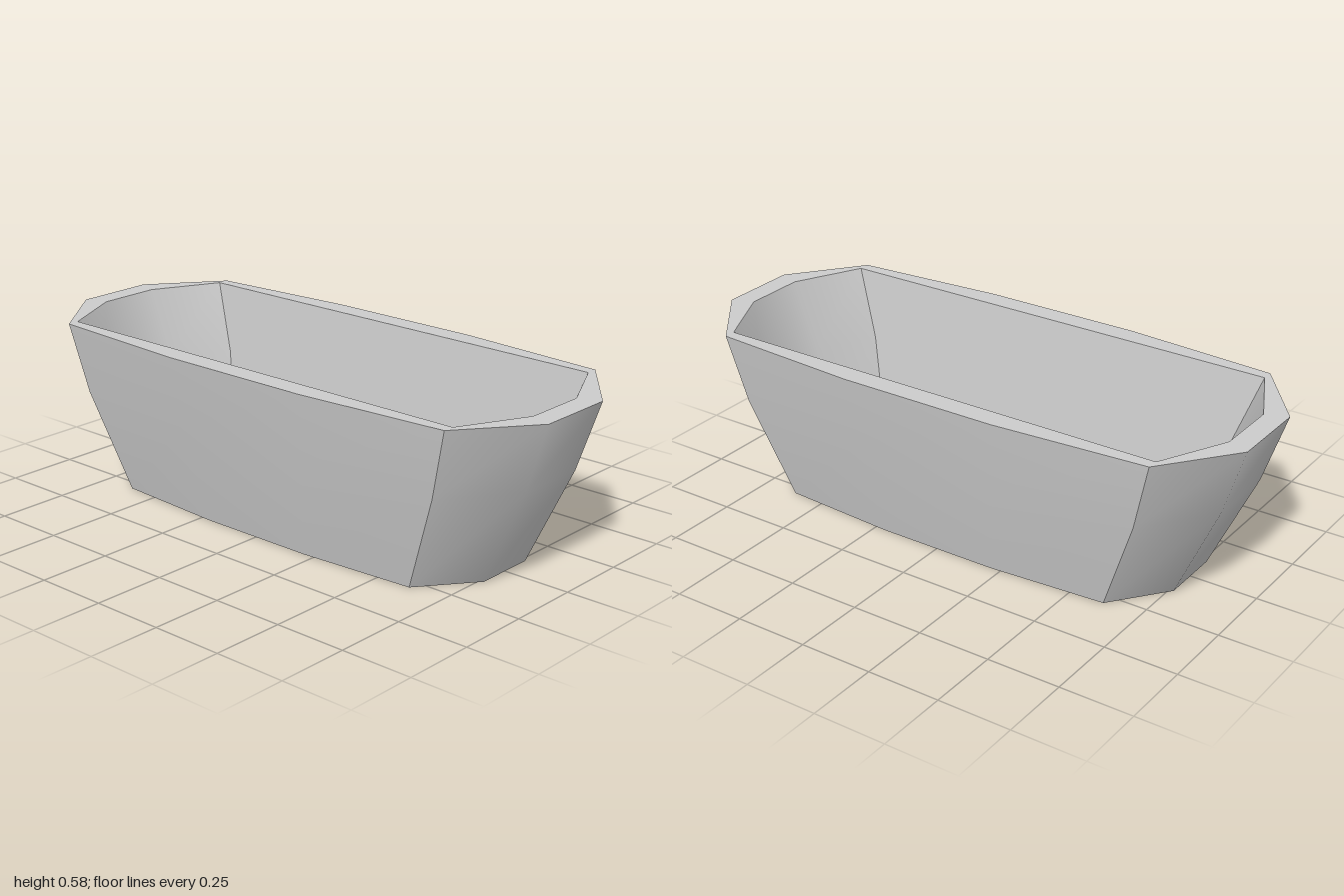
import * as THREE from 'three';
import { toCreasedNormals } from 'three/addons/utils/BufferGeometryUtils.js';

// Full 12-sided outline from three points of one quarter: end, corner, side
function ring(y, end, corner, side) {
  const q = [end, corner, side];
  const r = [...q].reverse();
  return [
    ...q.map(([x, z]) => [x, y, -z]),
    ...r.map(([x, z]) => [-x, y, -z]),
    ...q.map(([x, z]) => [-x, y, z]),
    ...r.map(([x, z]) => [x, y, z]),
  ];
}

// Skin consecutive rings and close the first (facing down) and last (facing up)
function loft(rings) {
  const n = rings[0].length;
  const index = [];
  for (let k = 0; k < rings.length - 1; k++) {
    for (let i = 0; i < n; i++) {
      const j = (i + 1) % n;
      const a = k * n + i, b = k * n + j;
      index.push(a, b, b + n, a, b + n, a + n);
    }
  }
  const last = (rings.length - 1) * n;
  for (let i = 1; i < n - 1; i++) {
    index.push(0, i + 1, i);
    index.push(last, last + i, last + i + 1);
  }
  const geometry = new THREE.BufferGeometry();
  geometry.setAttribute('position', new THREE.Float32BufferAttribute(rings.flat(2), 3));
  geometry.setIndex(index);
  return toCreasedNormals(geometry, THREE.MathUtils.degToRad(41));
}

export function createModel() {
  const group = new THREE.Group();
  group.name = 'tub';
  const material = new THREE.MeshStandardMaterial({ color: 0xcccccc });

  const shell = new THREE.Mesh(loft([
    // outer wall, from base to rim
    ring(0, [0.765, 0.107], [0.62, 0.293], [0.213, 0.32]),
    ring(0.34, [0.922, 0.128], [0.75, 0.355], [0.258, 0.387]),
    ring(0.576, [1, 0.139], [0.81, 0.382], [0.28, 0.419]),
    // inner wall, from rim to floor
    ring(0.576, [0.925, 0.11], [0.81, 0.343], [0.28, 0.343]),
    ring(0.34, [0.83, 0.105], [0.725, 0.307], [0.25, 0.307]),
    ring(0.07, [0.755, 0.1], [0.67, 0.27], [0.23, 0.27]),
  ]), material);
  shell.name = 'tubShell';
  group.add(shell);
  return group;
}
